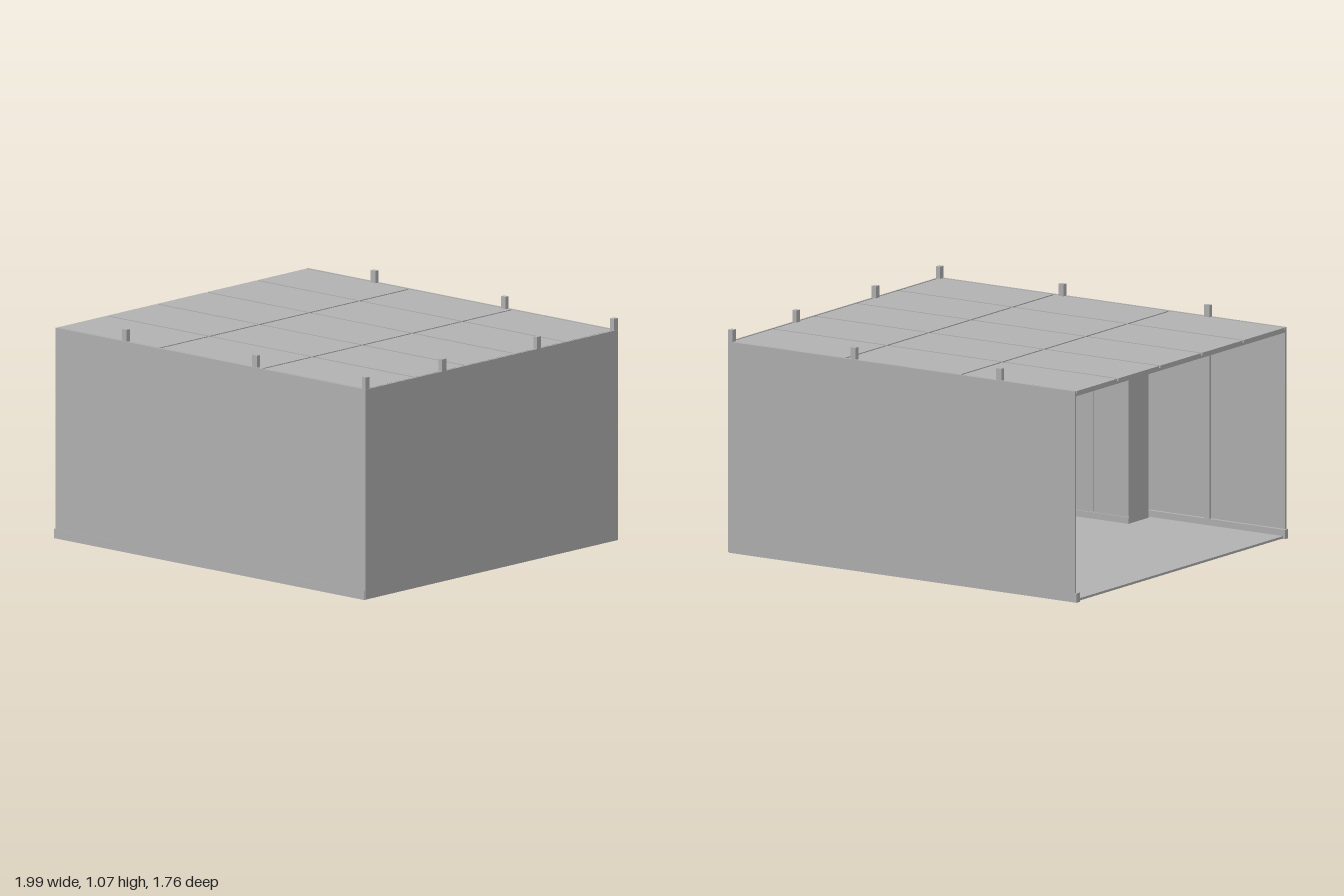
import * as THREE from 'three';

export function createModel() {
  const model = new THREE.Group();
  const grey = new THREE.MeshStandardMaterial({ color: 0xb2b2b2 });
  grey.name = 'plain grey';

  // Box given by its lower and upper limits on each axis
  function box(name, x0, x1, y0, y1, z0, z1, parent = model) {
    const mesh = new THREE.Mesh(new THREE.BoxGeometry(x1 - x0, y1 - y0, z1 - z0), grey);
    mesh.position.set((x0 + x1) / 2, (y0 + y1) / 2, (z0 + z1) / 2);
    mesh.name = name;
    parent.add(mesh);
    return mesh;
  }
  function group(name) {
    const g = new THREE.Group();
    g.name = name;
    model.add(g);
    return g;
  }

  // Floor and walls; the -x side stays open
  box('floor', -0.99, 0.99, 0.003, 0.014, -0.876, 0.876);
  box('frontWall', -0.99, 0.99, 0.003, 1.015, 0.868, 0.878);
  box('backWallLong', -0.99, 0.271, 0.003, 1.015, -0.878, -0.868);
  box('backWallShort', 0.285, 0.99, 0.003, 1.015, -0.878, -0.868);
  box('endWall', 0.982, 0.99, 0.003, 1.015, -0.878, 0.878);

  // Roof deck with 3 x 5 panels parted by shallow grooves
  const roof = group('roof');
  box('roofDeck', -0.99, 0.982, 0.99, 1.003, -0.868, 0.868, roof);
  const gap = 0.012, px = 1.972 / 3, pz = 1.736 / 5;
  for (let i = 0; i < 3; i++) {
    for (let j = 0; j < 5; j++) {
      const x = -0.99 + i * px, z = -0.868 + j * pz;
      box('roofPanel', x + (i ? gap / 2 : 0), x + px - gap / 2, 1.003, 1.014,
        z + gap / 2, z + pz - gap / 2, roof);
    }
  }

  // Upright posts standing above the roof edge
  const posts = group('posts');
  for (const s of [-1, 1]) {
    for (const x of [-0.553, 0.278]) {
      const z = s * 0.864;
      box('sidePost', x - 0.015, x + 0.015, 0.014, 1.072, z - 0.011, z + 0.011, posts);
    }
    for (const z of [0.33, 0.862]) {
      box('endPost', 0.965, 0.989, 0.014, 1.072, s * z - 0.014, s * z + 0.014, posts);
    }
  }

  // Floor rails along the walls, running out past the open side
  for (const s of [-1, 1]) {
    const z = s * 0.865;
    box('floorRail', -1, 0.982, 0, 0.045, z - 0.0135, z + 0.0135);
  }
  box('endRail', 0.96, 0.982, 0.014, 0.045, -0.85, 0.85);

  // Two rows of tall cabinets on plinths
  for (const s of [-1, 1]) {
    const row = group('cabinetRow');
    const z0 = s > 0 ? 0.672 : -0.83, z1 = z0 + 0.158;
    const w = 0.196, front = s > 0 ? z0 : z1;
    box('plinth', -0.235, 0.745, 0.014, 0.045, Math.min(z0, front - 0.007), Math.max(z1, front + 0.007), row);
    box('cabinetBody', -0.235, 0.745, 0.045, 0.99, z0, z1, row);
    for (let i = 0; i < 5; i++) {
      const x = -0.235 + i * w;
      box('cabinetDoor', x + 0.004, x + w - 0.004, 0.05, 0.99, front - 0.006, front + 0.006, row);
    }
  }

  // Partition behind the two desks
  box('partition', 0.575, 0.59, 0.014, 1.0, -0.465, 0.475);
  for (const z of [-0.31, 0.325]) {
    const desk = group('desk');
    box('deskTop', 0.21, 0.61, 0.285, 0.3, z - 0.122, z + 0.122, desk);
    box('deskBody', 0.21, 0.61, 0, 0.285, z - 0.122, z + 0.122, desk);
  }

  // Chair on four legs, turned towards the cabinets
  const chair = group('chair');
  box('seat', -0.075, 0.075, 0.17, 0.19, -0.075, 0.075, chair);
  box('backrest', -0.075, 0.075, 0.19, 0.36, 0.06, 0.075, chair);
  for (const x of [-0.065, 0.065]) {
    for (const z of [-0.065, 0.065]) {
      box('leg', x - 0.007, x + 0.007, 0.001, 0.17, z - 0.007, z + 0.007, chair);
    }
  }
  chair.position.set(-0.09, 0, -0.56);
  chair.rotation.y = 0.6;

  return model;
}
